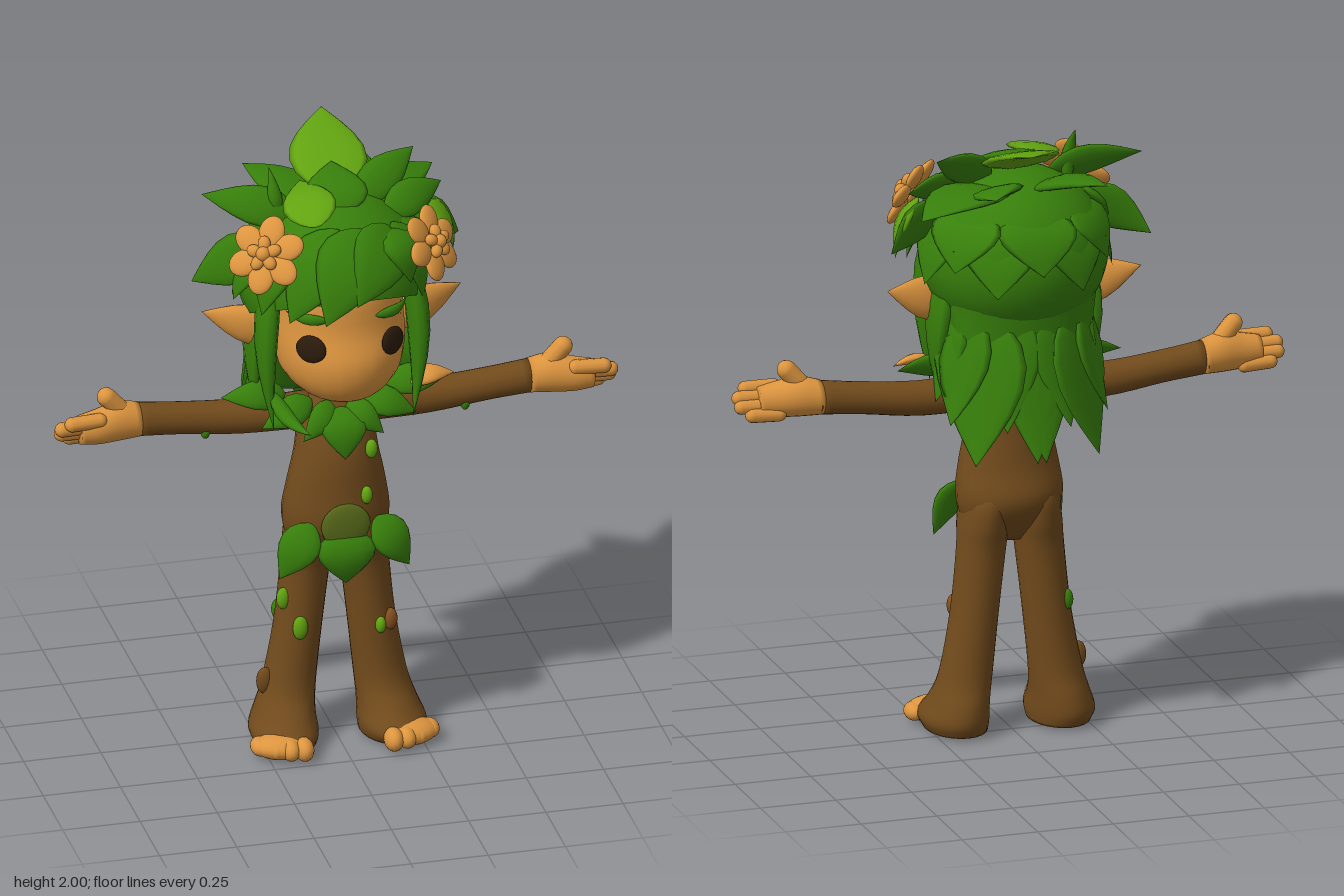
import * as THREE from 'three';
import { mergeVertices } from 'three/addons/utils/BufferGeometryUtils.js';

const mat = (name, color) => {
  const m = new THREE.MeshStandardMaterial({ color, side: THREE.DoubleSide });
  m.name = name;
  return m;
};
const V = (a) => new THREE.Vector3(...a);
const HEAD = [0, 1.6, 0];

export function createModel() {
  const root = new THREE.Group();
  root.name = 'forestSprite';
  const bark = mat('bark brown', 0x724b1c), skin = mat('warm skin', 0xdd953f);
  const green = mat('leaf green', 0x38800b), light = mat('light leaf green', 0x62a411);
  const dark = mat('eye dark brown', 0x2b1b0c), moss = mat('moss', 0x586a1a), rust = mat('rust brown', 0x87501f);

  const add = (name, geo, m, parent = root) => {
    const mesh = new THREE.Mesh(geo, m);
    mesh.name = name;
    parent.add(mesh);
    return mesh;
  };

  // Smooth body through sections [x, y, z, ra, rb]; side 0 runs up, +1/-1 runs along that x direction
  const loft = (name, sections, m, side = 0) => {
    const centre = new THREE.CatmullRomCurve3(sections.map((s) => V(s.slice(0, 3))), false, 'catmullrom');
    const radii = new THREE.CatmullRomCurve3(sections.map((s) => V([s[3], s[4], 0])), false, 'catmullrom');
    const rows = (sections.length - 1) * 4, n = 24, pos = [], idx = [];
    for (let j = 0; j <= rows; j++) {
      const c = centre.getPoint(j / rows), r = radii.getPoint(j / rows);
      for (let i = 0; i < n; i++) {
        const a = (i / n) * Math.PI * 2, u = r.x * Math.cos(a), w = r.y * Math.sin(a);
        if (side) pos.push(c.x, c.y + u, c.z - side * w);
        else pos.push(c.x + u, c.y, c.z + w);
        if (j < rows) {
          const p = j * n + i, q = j * n + ((i + 1) % n);
          idx.push(p, p + n, q, q, p + n, q + n);
        }
      }
    }
    const first = pos.length / 3, top = rows * n;
    pos.push(...centre.getPoint(0).toArray(), ...centre.getPoint(1).toArray());
    for (let i = 0; i < n; i++) {
      const k = (i + 1) % n;
      idx.push(first, i, k, first + 1, top + k, top + i);
    }
    const g = new THREE.BufferGeometry();
    g.setAttribute('position', new THREE.Float32BufferAttribute(pos, 3));
    g.setIndex(idx);
    g.computeVertexNormals();
    return add(name, g, m);
  };

  // Pointed leaf from base to tip, facing the given normal (outward from the head by default)
  const leaf = (name, m, base, tip, width, { thick = 0.02, bend = 0.02, normal } = {}) => {
    const b = V(base), d = V(tip).sub(b), len = d.length();
    d.normalize();
    const n = normal ? V(normal) : V(base).add(V(tip)).multiplyScalar(0.5).sub(V(HEAD));
    n.addScaledVector(d, -n.dot(d)).normalize();
    const across = d.clone().cross(n);
    let g = new THREE.SphereGeometry(1, 12, 10);
    g.deleteAttribute('uv');
    g.deleteAttribute('normal');
    g = mergeVertices(g, 1e-4);
    const p = g.attributes.position;
    for (let i = 0; i < p.count; i++) {
      const y = p.getY(i), t = (y + 1) / 2, r = Math.sqrt(Math.max(1 - y * y, 0));
      const w = r < 1e-3 ? 0 : Math.sin(Math.PI * Math.pow(t, 0.7)) / r;
      const v = b.clone().addScaledVector(d, len * t)
        .addScaledVector(across, p.getX(i) * w * width)
        .addScaledVector(n, p.getZ(i) * w * thick + bend * Math.sin(Math.PI * t));
      p.setXYZ(i, v.x, v.y, v.z);
    }
    g.computeVertexNormals();
    return add(name, g, m);
  };

  const blob = (name, m, at, scale, parent = root) => {
    const mesh = add(name, new THREE.SphereGeometry(1, 16, 12), m, parent);
    mesh.position.set(...at);
    mesh.scale.set(...scale);
    return mesh;
  };

  const finger = (name, a, b, r) => {
    const d = V(b).sub(V(a));
    const mesh = add(name, new THREE.CapsuleGeometry(r, d.length(), 5, 10), skin);
    mesh.position.copy(V(a).addScaledVector(d, 0.5));
    mesh.quaternion.setFromUnitVectors(new THREE.Vector3(0, 1, 0), d.normalize());
  };

  // Torso and neck
  loft('torso', [[0, 0.63, 0.02, 0.05, 0.04], [0, 0.7, 0.03, 0.15, 0.105], [0, 0.78, 0.03, 0.172, 0.14],
    [0, 0.88, 0.04, 0.16, 0.127], [0, 1, 0.042, 0.135, 0.117], [0, 1.1, 0.03, 0.12, 0.1],
    [0, 1.18, 0.02, 0.09, 0.075], [0, 1.22, 0.02, 0.06, 0.06], [0, 1.32, 0.03, 0.055, 0.055]], bark);

  // Head and face
  loft('head', [[0, 1.235, 0.12, 0.05, 0.07], [0, 1.26, 0.1, 0.13, 0.15], [0, 1.32, 0.08, 0.187, 0.21],
    [0, 1.4, 0.08, 0.205, 0.22], [0, 1.5, 0.07, 0.205, 0.2], [0, 1.65, 0.06, 0.19, 0.19], [0, 1.78, 0.03, 0.1, 0.1]], skin);

  for (const s of [1, -1]) {
    const eye = blob('eye', dark, [s * 0.132, 1.455, 0.245], [0.052, 0.045, 0.014]);
    eye.rotation.set(-0.12, s * 0.66, 0);
    leaf('eyebrow', green, [s * 0.075, 1.55, 0.252], [s * 0.195, 1.56, 0.165], 0.019,
      { thick: 0.012, bend: 0.024, normal: [s * 0.6, 0, 0.8] });
    leaf('ear', skin, [s * 0.17, 1.42, 0.04], [s * 0.42, 1.495, -0.02], 0.072, { thick: 0.035, bend: 0, normal: [s * 0.7, 0, 1] });

    // Arms and hands
    loft('arm', [[s * 0.06, 1.13, 0.01, 0.06, 0.06], [s * 0.3, 1.125, 0, 0.056, 0.055],
      [s * 0.5, 1.145, 0.005, 0.052, 0.052], [s * 0.64, 1.16, 0.01, 0.055, 0.052]], bark, s);
    loft('hand', [[s * 0.63, 1.16, 0.01, 0.056, 0.053], [s * 0.7, 1.167, 0.02, 0.065, 0.056],
      [s * 0.77, 1.16, 0.032, 0.057, 0.052], [s * 0.83, 1.157, 0.036, 0.047, 0.042]], skin, s);
    for (let i = 0; i < 4; i++)
      finger('finger', [s * 0.77, 1.12 + i * 0.025, 0.002 + i * 0.02],
        [s * [0.855, 0.885, 0.887, 0.86][i], 1.122 + i * 0.024, 0.008 + i * 0.02], 0.024);
    finger('thumb', [s * 0.68, 1.19, 0.02], [s * 0.738, 1.256, 0.025], 0.031);

    // Legs, feet and toes
    loft('leg', [[s * 0.17, 0.01, 0.055, 0.098, 0.135], [s * 0.175, 0.05, 0.06, 0.108, 0.156],
      [s * 0.165, 0.11, 0.035, 0.095, 0.125], [s * 0.147, 0.2, 0.02, 0.085, 0.088], [s * 0.118, 0.4, 0.02, 0.077, 0.08],
      [s * 0.096, 0.6, 0.022, 0.078, 0.087], [s * 0.088, 0.69, 0.028, 0.079, 0.112],
      [s * 0.08, 0.78, 0.03, 0.07, 0.12], [s * 0.06, 0.86, 0.03, 0.04, 0.07]], bark);
    const toeCap = blob('forefoot', skin, [s * 0.21, 0.04, 0.168], [0.09, 0.04, 0.064]);
    toeCap.rotation.y = s * 0.2;
    for (let i = 0; i < 4; i++)
      blob('toe', skin, [s * (0.145 + i * 0.043), 0.039, 0.208 - i * i * 0.006], [0.031, 0.038 - i * 0.003, 0.046]);

    // Side locks of hair
    leaf('sideLock', green, [s * 0.21, 1.72, 0.1], [s * 0.225, 1.13, 0.14], 0.075, { thick: 0.036, bend: 0.03, normal: [s, 0, 0] });
    leaf('rearLock', green, [s * 0.22, 1.6, -0.03], [s * 0.25, 1.14, 0], 0.09, { thick: 0.03, normal: [s, 0, 0] });

    // Collar and waist leaves
    leaf('collarLeaf', green, [s * 0.02, 1.18, 0.08], [s * 0.13, 1.08, 0.14], 0.045, { normal: [0, 0.3, 1] });
    leaf('shoulderLeaf', green, [s * 0.08, 1.18, 0.05], [s * 0.25, 1.11, 0.08], 0.05, { normal: [0, 0.6, 1] });
    leaf('shoulderLeaf', green, [s * 0.16, 1.2, 0.03], [s * 0.37, 1.21, 0.03], 0.05, { normal: [0, 0.6, 1] });
    leaf('waistLeaf', green, [s * 0.1, 0.79, 0.14], [s * 0.21, 0.615, 0.15], 0.066, { normal: [s * 0.5, 0, 1] });
  }
  leaf('lockCurl', green, [-0.235, 1.27, 0.13], [-0.15, 1.19, 0.32], 0.028, { thick: 0.022, bend: -0.03, normal: [0, 1, 0] });
  leaf('collarLeaf', green, [0, 1.17, 0.1], [0, 1.015, 0.165], 0.075, { normal: [0, 0.3, 1] });
  leaf('shoulderPetal', skin, [0.23, 1.21, 0.06], [0.38, 1.22, 0.05], 0.038, { normal: [0, 1, 0.5] });
  leaf('waistLeaf', green, [0, 0.77, 0.155], [0, 0.585, 0.17], 0.095, { thick: 0.025, normal: [0, 0, 1] });
  blob('bellyMoss', moss, [0, 0.785, 0.168], [0.08, 0.075, 0.016]);

  // Small leaflets and knots on the bark
  for (const [m, x, y, z, h] of [[light, 0.09, 1.03, 0.14, 0.032], [light, 0.07, 0.88, 0.16, 0.03],
    [light, -0.175, 0.5, 0.06, 0.037], [light, -0.13, 0.41, 0.1, 0.04], [light, 0.13, 0.39, 0.1, 0.028],
    [rust, 0.165, 0.4, 0.085, 0.037], [bark, -0.23, 0.21, 0.04, 0.045], [green, -0.17, 0.42, -0.03, 0.035],
    [green, 0.42, 1.1, 0.03, 0.025], [green, -0.42, 1.1, 0.03, 0.025]])
    blob('leaflet', m, [x, y, z], [h * 0.62, h, 0.018]);

  // Hair cap, tilted to sit high over the face and low at the back
  const cap = new THREE.SphereGeometry(1, 32, 20, 0, Math.PI * 2, 0, Math.PI * 0.62);
  cap.rotateX(-0.48);
  cap.scale(0.3, 0.275, 0.29);
  add('hairCap', cap, green).position.set(0, 1.59, -0.01);
  loft('backHair', [[0, 1.14, -0.15, 0.17, 0.04], [0, 1.25, -0.13, 0.21, 0.09], [0, 1.4, -0.09, 0.235, 0.15],
    [0, 1.56, -0.07, 0.26, 0.19]], green);

  // Broad hanging leaves [angle from the back, base height, tip height, reach, width], mirrored
  for (const s of [1, -1])
    for (const [a, y0, y1, reach, width] of [[0.05, 1.48, 0.97, 0.28, 0.12], [0.72, 1.45, 0.965, 0.31, 0.15],
      [0.4, 1.48, 1.07, 0.27, 0.11], [1.05, 1.46, 1.08, 0.3, 0.12], [1.4, 1.46, 1.13, 0.28, 0.11]]) {
      const x = s * Math.sin(a), z = Math.cos(a);
      leaf('backLeaf', green, [x * 0.22, y0, -0.02 - z * 0.18], [x * reach, y1, -0.02 - z * reach], width,
        { thick: 0.025, bend: -0.015, normal: [x, 0.1, -z] });
    }

  // Flat leaves lying on the cap
  for (let i = 0; i < 7; i++) {
    const a = (i / 3 - 1) * 1.4, x = Math.sin(a), z = Math.cos(a);
    leaf('capLeaf', green, [x * 0.19, 1.77, -0.01 - z * 0.18], [x * 0.315, 1.52 + (i % 2) * 0.07, -0.01 - z * 0.305], 0.13,
      { thick: 0.015, bend: 0.025, normal: [x, 0.5, -z] });
  }

  // Fringe swept to one side
  for (const [base, tip, w] of [
    [[-0.02, 1.82, 0.16], [-0.2, 1.55, 0.24], 0.1], [[0.05, 1.82, 0.17], [-0.1, 1.56, 0.31], 0.11],
    [[0.14, 1.81, 0.14], [0.0, 1.62, 0.32], 0.1], [[0.13, 1.8, 0.15], [0.19, 1.65, 0.25], 0.08],
    [[0.16, 1.8, 0.11], [0.25, 1.55, 0.17], 0.08], [[0.18, 1.78, 0.06], [0.33, 1.57, 0.06], 0.09],
    [[-0.14, 1.8, 0.1], [-0.27, 1.55, 0.16], 0.09], [[-0.18, 1.78, 0.06], [-0.34, 1.57, 0.07], 0.09]])
    leaf('fringeLeaf', green, base, tip, w, { thick: 0.025, bend: 0.035 });

  // Crown leaves: flat ones lie on the hair, upright ones face the front
  for (const [base, tip, w] of [
    [[0.06, 1.81, -0.04], [0.39, 1.8, -0.27], 0.12], [[-0.05, 1.8, -0.06], [-0.22, 1.86, -0.29], 0.09],
    [[0.08, 1.8, -0.1], [0.16, 1.86, -0.32], 0.09], [[0, 1.83, 0.08], [0.02, 1.93, -0.1], 0.1]])
    leaf('crownLeaf', green, base, tip, w);
  for (const [base, tip, w] of [
    [[0.08, 1.83, -0.02], [0.29, 1.94, -0.12], 0.065], [[0.16, 1.8, 0.02], [0.37, 1.83, -0.08], 0.06],
    [[0.24, 1.76, -0.02], [0.43, 1.64, -0.09], 0.08], [[-0.12, 1.82, 0.02], [-0.41, 1.885, -0.06], 0.065],
    [[-0.22, 1.74, 0.04], [-0.45, 1.6, -0.03], 0.082], [[-0.18, 1.79, 0], [-0.2, 1.97, -0.03], 0.025]])
    leaf('uprightCrownLeaf', green, base, tip, w, { normal: [0, 0.5, 1] });
  leaf('sideCrownLeaf', light, [0.31, 1.79, 0.0], [0.4, 1.61, -0.04], 0.075, { normal: [1, 0.4, 0.25] });
  leaf('tallCrownLeaf', light, [0, 1.86, -0.02], [0.05, 2, -0.345], 0.125, { thick: 0.018, normal: [0, 1, 0.4] });
  leaf('roundCrownLeaf', light, [-0.1, 1.85, 0.19], [-0.09, 1.89, -0.07], 0.085, { thick: 0.018, normal: [-0.2, 1, 0.3] });

  // Flowers: broad outer petals, small inner petals and a bud
  for (const [at, dir, size] of [[[-0.255, 1.765, 0.18], [-0.5, 0.55, 0.7], 1.12], [[0.265, 1.74, 0.17], [0.65, 0.45, 0.65], 1.08]]) {
    const flower = new THREE.Group();
    flower.name = 'flower';
    flower.position.set(...at);
    flower.quaternion.setFromUnitVectors(new THREE.Vector3(0, 0, 1), V(dir).normalize());
    flower.scale.setScalar(size);
    root.add(flower);
    for (const [n, r, w, z] of [[6, 0.066, 0.038, 0.015], [5, 0.03, 0.018, 0.038]])
      for (let i = 0; i < n; i++) {
        const a = (i / n) * Math.PI * 2 + 0.3;
        const petal = blob('petal', skin, [Math.cos(a) * r, Math.sin(a) * r, z], [w * 1.25, w, 0.016], flower);
        petal.rotation.z = a;
      }
    blob('bud', skin, [0, 0, 0.04], [0.022, 0.022, 0.025], flower);
  }
  return root;
}
